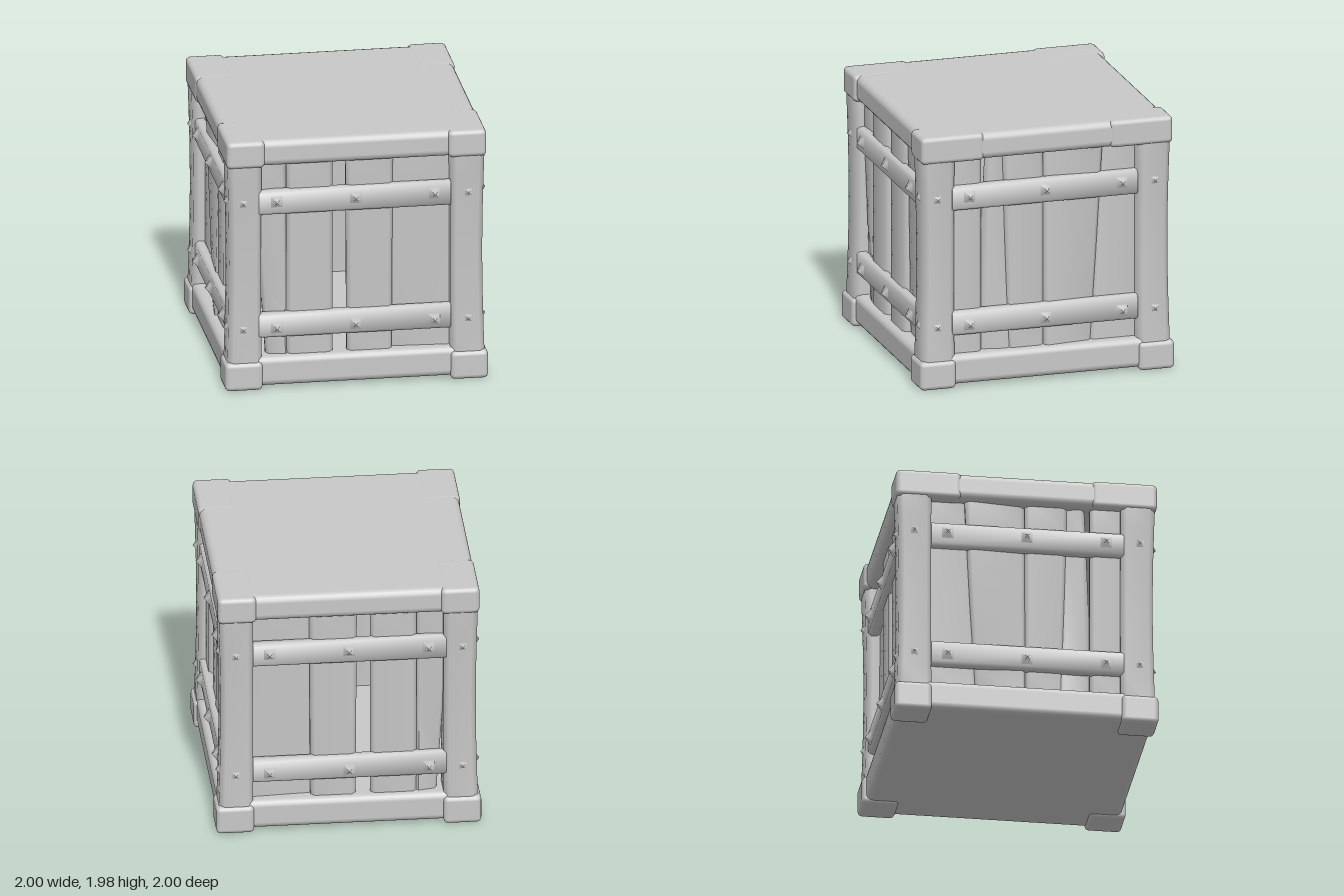
import * as THREE from 'three';
import { toCreasedNormals } from 'three/addons/utils/BufferGeometryUtils.js';
import { RoundedBoxGeometry } from 'three/addons/geometries/RoundedBoxGeometry.js';

const grey = new THREE.MeshStandardMaterial({ color: 0xc8c8c8 });
grey.name = 'plain grey';

function add(parent, geometry, name, x = 0, y = 0, z = 0) {
  const mesh = new THREE.Mesh(geometry, grey);
  mesh.name = name;
  mesh.position.set(x, y, z);
  parent.add(mesh);
}

// Upright bar with chamfered long edges; warp(v, t) bends it, t runs 0 (foot) to 1 (head)
function bar(w, h, d, c, warp) {
  const a = w / 2, b = d / 2;
  const shape = new THREE.Shape([
    [-a + c, -b], [a - c, -b], [a, -b + c], [a, b - c],
    [a - c, b], [-a + c, b], [-a, b - c], [-a, -b + c],
  ].map(([x, y]) => new THREE.Vector2(x, y)));
  const g = new THREE.ExtrudeGeometry(shape, { depth: h, steps: warp ? 8 : 1, bevelEnabled: false });
  g.rotateX(-Math.PI / 2).translate(0, -h / 2, 0);
  if (warp) {
    const p = g.attributes.position, v = new THREE.Vector3();
    for (let i = 0; i < p.count; i++) {
      v.fromBufferAttribute(p, i);
      warp(v, v.y / h + 0.5);
      p.setXYZ(i, v.x, v.y, v.z);
    }
  }
  return toCreasedNormals(g, 1);
}

// Low, softly shaded four-sided pyramid pointing along +z
function stud(size, height) {
  const g = new THREE.ConeGeometry(size * Math.SQRT1_2, height, 4, 1);
  return g.rotateY(Math.PI / 4).rotateX(Math.PI / 2).translate(0, 0, height / 2);
}

// Planks: left and right edge at the foot, the same at the head, front depth, twist
const faceBoards = [
  [-0.67, -0.51, -0.78, -0.52, 0.89, 0.1],
  [-0.52, -0.17, -0.52, -0.17, 0.91, 0],
  [-0.06, 0.28, -0.07, 0.29, 0.91, 0],
  [0.26, 0.78, 0.27, 0.78, 0.87, 0.03],
];
const sideBoards = [
  [-0.76, -0.49, -0.76, -0.49, 0.91, 0],
  [-0.52, -0.25, -0.45, -0.29, 0.88, 0.1],
  [-0.28, 0.0, -0.32, 0.0, 0.9, 0],
  [0.0, 0.38, 0.0, 0.46, 0.9, -0.06],
  [0.36, 0.76, 0.44, 0.76, 0.88, 0],
];

// One wall facing +z: planks, two rails and their studs; flip mirrors the layout
function wall(name, boards, flip) {
  const g = new THREE.Group();
  g.name = name;
  for (const [b0, b1, t0, t1, z, twist] of boards) {
    const head = t1 - t0, foot = b1 - b0;
    const plank = bar(head, 1.6, 0.09, 0.032, (v, t) => {
      const mid = THREE.MathUtils.lerp(b0 + b1, t0 + t1, t) / 2;
      v.x *= THREE.MathUtils.lerp(foot / head, 1, t);
      v.z += v.x * twist * flip * (1 - 2 * t) * 2;
      v.x += mid * flip;
    });
    add(g, plank, 'plank', 0, 1, z - 0.045);
  }
  for (const [y, studY] of [[0.495, 0.48], [1.475, 1.485]]) {
    add(g, bar(0.19, 1.46, 0.09, 0.022).rotateZ(Math.PI / 2), 'rail', -0.01 * flip, y, 0.91);
    for (const x of [-0.605, -0.005, 0.595])
      add(g, stud(0.105, 0.055), 'railStud', x * flip, studY, 0.945);
    for (const x of [-0.86, 0.85])
      add(g, stud(0.08, 0.04), 'postStud', x * flip, studY, 0.955);
  }
  return g;
}

export function createModel() {
  const crate = new THREE.Group();
  crate.name = 'crate';

  // Lid and base slabs
  add(crate, new RoundedBoxGeometry(1.96, 0.205, 1.935, 2, 0.055), 'lid', 0, 1.873, 0);
  add(crate, new RoundedBoxGeometry(1.95, 0.23, 1.94, 2, 0.05), 'base', 0, 0.135, 0);

  // Corner posts with a slight waist, and the caps at both ends
  for (const sx of [-1, 1]) for (const sz of [-1, 1]) {
    const post = bar(0.26, 1.66, 0.26, 0.04, (v, t) => {
      const pinch = 0.016 * Math.sin(Math.PI * t);
      if (v.x * sx > 0) v.x -= sx * pinch;
      if (v.z * sz > 0) v.z -= sz * pinch;
    });
    add(crate, post, 'cornerPost', sx * 0.848, 1, sz * 0.848);
    add(crate, new RoundedBoxGeometry(0.29, 0.21, 0.495, 2, 0.035), 'topCap', sx * 0.842, 1.873, sz * 0.742);
    add(crate, new RoundedBoxGeometry(0.285, 0.22, 0.28, 2, 0.035), 'bottomCap', sx * 0.857, 0.11, sz * 0.86);
  }

  // Four walls, opposite ones mirrored
  const walls = [
    ['frontWall', faceBoards, 1, 0],
    ['backWall', faceBoards, -1, Math.PI],
    ['leftWall', sideBoards, 1, Math.PI / 2],
    ['rightWall', sideBoards, -1, -Math.PI / 2],
  ];
  for (const [name, boards, flip, angle] of walls) {
    const w = wall(name, boards, flip);
    w.rotation.y = angle;
    crate.add(w);
  }
  return crate;
}
